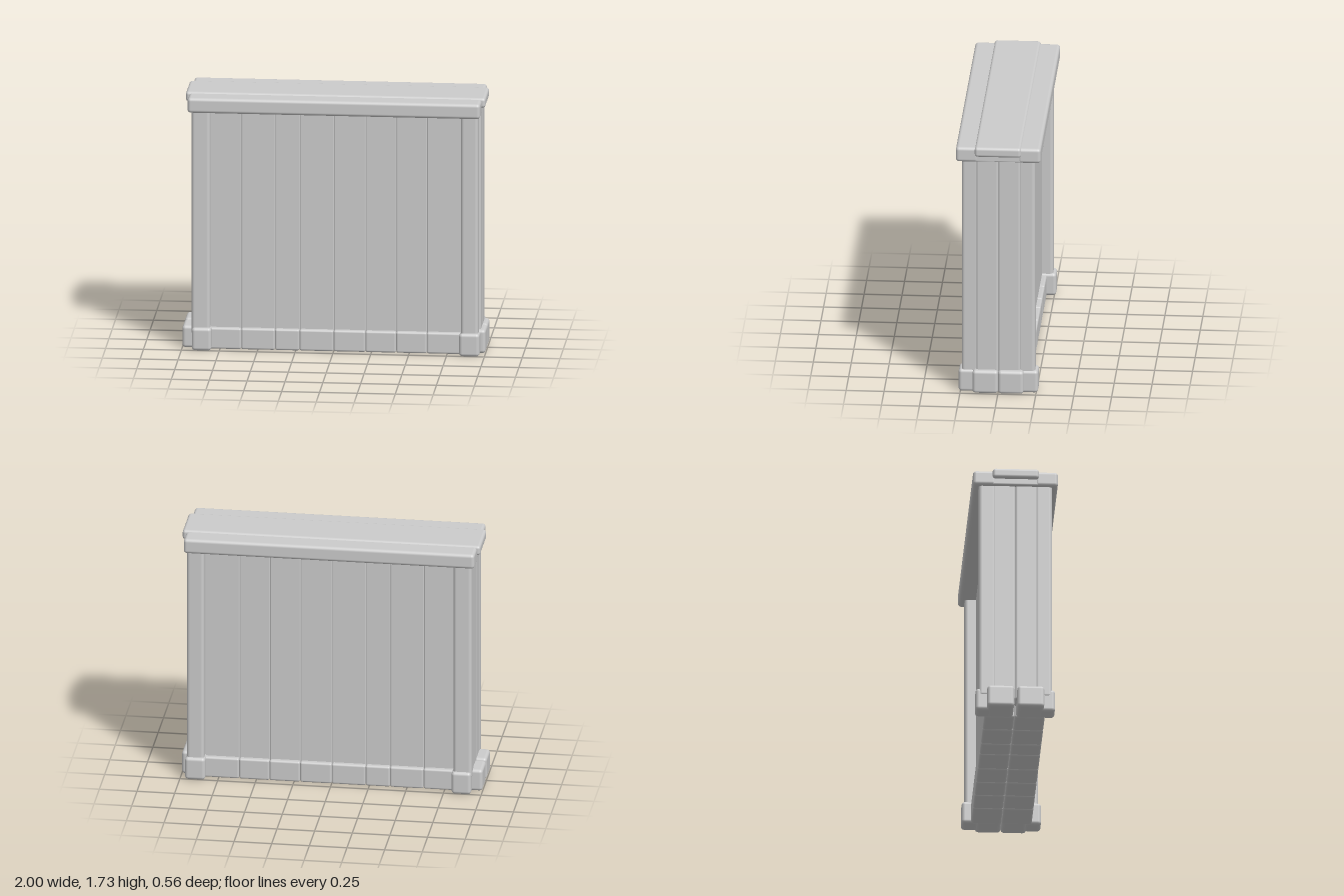
import * as THREE from 'three';
import { RoundedBoxGeometry } from 'three/addons/geometries/RoundedBoxGeometry.js';

const material = new THREE.MeshStandardMaterial({ color: 0xcccccc });

// Rounded block given by its lower and upper limits on each axis
function block(parent, name, [x0, x1], [y0, y1], [z0, z1], radius = 0.012) {
  const w = x1 - x0, h = y1 - y0, d = z1 - z0;
  const mesh = new THREE.Mesh(new RoundedBoxGeometry(w, h, d, 3, radius), material);
  mesh.name = name;
  mesh.position.set((x0 + x1) / 2, (y0 + y1) / 2, (z0 + z1) / 2);
  parent.add(mesh);
}

function section(parent, name) {
  const group = new THREE.Group();
  group.name = name;
  parent.add(group);
  return group;
}

export function createModel() {
  const wall = new THREE.Group();
  wall.name = 'wallSegment';
  const planks = section(wall, 'planks');
  const base = section(wall, 'base');
  const posts = section(wall, 'cornerPosts');
  const cap = section(wall, 'cap');
  const seams = [-0.82, -0.61, -0.387, -0.225, 0, 0.21, 0.413, 0.615, 0.85];

  for (const s of [1, -1]) {
    const depth = (a, b) => (s > 0 ? [a, b] : [-b, -a]);

    // Uneven boards, set back between the posts, and the footing stones below them
    for (let i = 0; i < seams.length - 1; i++) {
      const span = [seams[i], seams[i + 1]];
      block(planks, 'facePlank', span, [0.08, 1.64], depth(0, 0.168), 0.007);
      block(base, 'faceFooting', span, [0, 0.143], depth(0, 0.2), 0.014);
    }

    // Corner posts with square feet
    block(posts, 'rightPost', [-0.935, -0.813], [0.1, 1.65], depth(0.13, 0.242), 0.022);
    block(posts, 'leftPost', [0.843, 0.957], [0.1, 1.65], depth(0.13, 0.242), 0.022);
    block(base, 'rightPostFoot', [-0.932, -0.803], [0, 0.155], depth(0.15, 0.262), 0.022);
    block(base, 'leftPostFoot', [0.833, 0.967], [0, 0.155], depth(0.15, 0.262), 0.022);

    // End boards and their projecting feet
    block(planks, 'rightEndPlank', [-0.932, -0.8], [0.08, 1.64], depth(0, 0.148), 0.014);
    block(planks, 'leftEndPlank', [0.82, 0.968], [0.08, 1.64], depth(0, 0.145), 0.014);
    block(base, 'rightEndFoot', [-1, -0.8], [0, 0.15], depth(0.01, 0.188), 0.022);
    block(base, 'leftEndFoot', [0.82, 1], [0, 0.16], depth(0, 0.168), 0.022);

    // Outer rails of the cap
    block(cap, 'capRail', [-0.958, 0.973], [1.62, 1.722], depth(0.13, 0.28), 0.022);
  }

  // Cap infill and the longer raised strip on top
  block(cap, 'capInfill', [-0.955, 0.97], [1.622, 1.715], [-0.16, 0.16]);
  block(cap, 'capStrip', [-0.98, 0.998], [1.665, 1.732], [-0.152, 0.154], 0.02);

  return wall;
}
